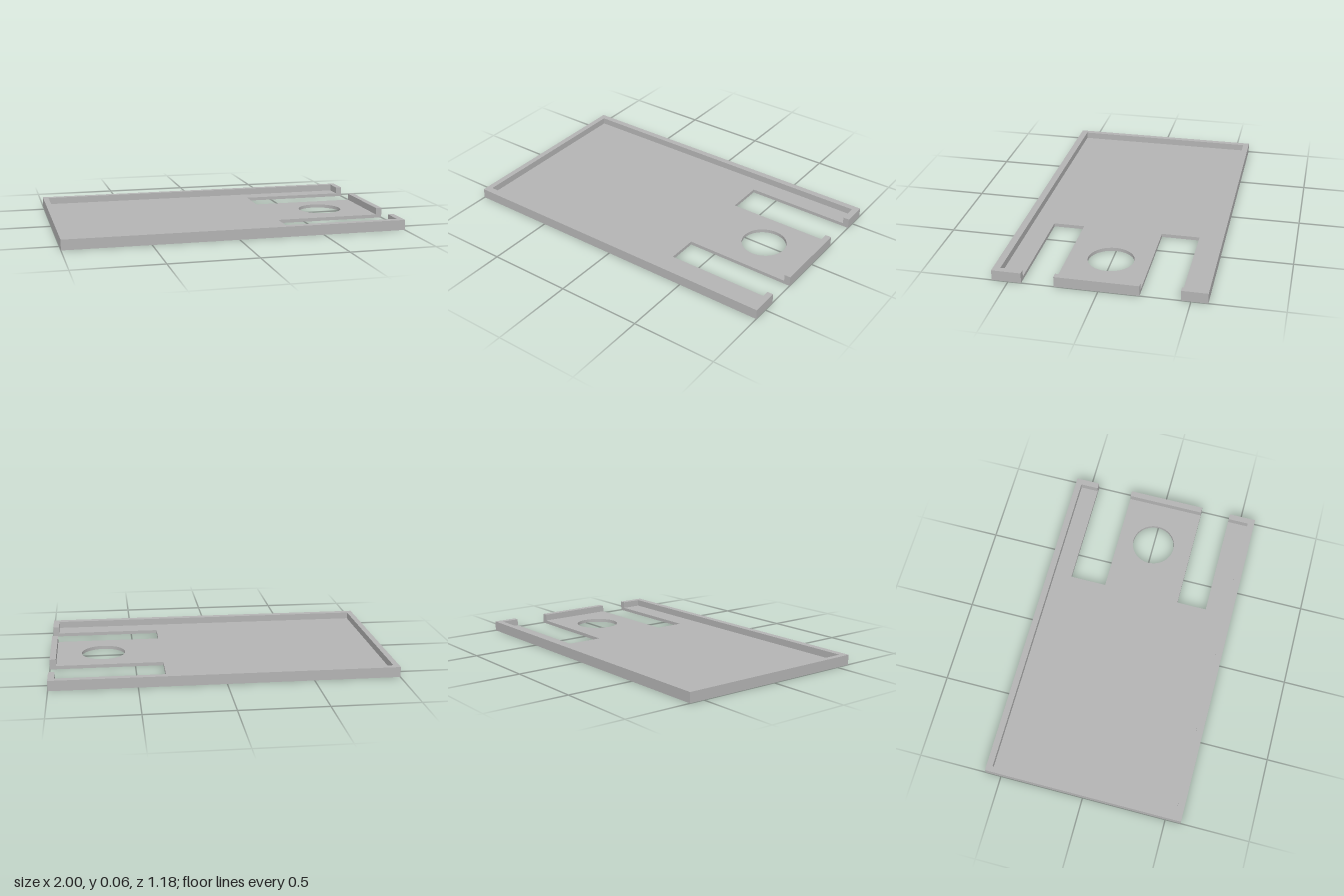
import * as THREE from 'three';

// Plan outline given as [x, z] corners
function outline(points) {
  return new THREE.Shape(points.map(([x, z]) => new THREE.Vector2(x, z)));
}

// Upright slab with the given plan, from y = bottom to y = top
function slab(name, shape, bottom, top, material) {
  const geometry = new THREE.ExtrudeGeometry(shape, {
    depth: top - bottom, bevelEnabled: false, curveSegments: 32,
  });
  geometry.rotateX(Math.PI / 2);
  geometry.translate(0, top, 0);
  const mesh = new THREE.Mesh(geometry, material);
  mesh.name = name;
  return mesh;
}

export function createModel() {
  const group = new THREE.Group();
  group.name = 'slottedTray';
  const grey = new THREE.MeshStandardMaterial({ color: 0xb3b3b3 });
  grey.name = 'grey';

  const floorTop = 0.02, rimTop = 0.06;
  const X = 1, Z = 0.592;              // outer half sizes
  const inX0 = -0.966, inX1 = 0.964;   // inner faces of the rim
  const inZ0 = -0.555, inZ1 = 0.551;
  const slotX = 0.335;                 // closed end of the slots
  const backSlot = [-0.446, -0.225], frontSlot = [0.244, 0.426];

  // Floor with two open slots and a round hole
  const floor = outline([
    [-X, -Z], [X, -Z],
    [X, backSlot[0]], [slotX, backSlot[0]], [slotX, backSlot[1]], [X, backSlot[1]],
    [X, frontSlot[0]], [slotX, frontSlot[0]], [slotX, frontSlot[1]], [X, frontSlot[1]],
    [X, Z], [-X, Z],
  ]);
  const hole = new THREE.Path();
  hole.absarc(0.684, 0, 0.131, 0, Math.PI * 2, true);
  floor.holes.push(hole);
  group.add(slab('floor', floor, 0, floorTop, grey));

  // Rim around three sides, turning in at the slotted end
  const rim = outline([
    [-X, -Z], [X, -Z], [X, backSlot[0]], [inX1, backSlot[0]],
    [inX1, inZ0], [inX0, inZ0], [inX0, inZ1], [inX1, inZ1],
    [inX1, frontSlot[1]], [X, frontSlot[1]], [X, Z], [-X, Z],
  ]);
  group.add(slab('rim', rim, floorTop, rimTop, grey));

  // Lip on the tongue between the slots
  const lip = outline([
    [inX1, backSlot[1]], [X, backSlot[1]], [X, frontSlot[0]], [inX1, frontSlot[0]],
  ]);
  group.add(slab('tongueLip', lip, floorTop, rimTop, grey));

  return group;
}
